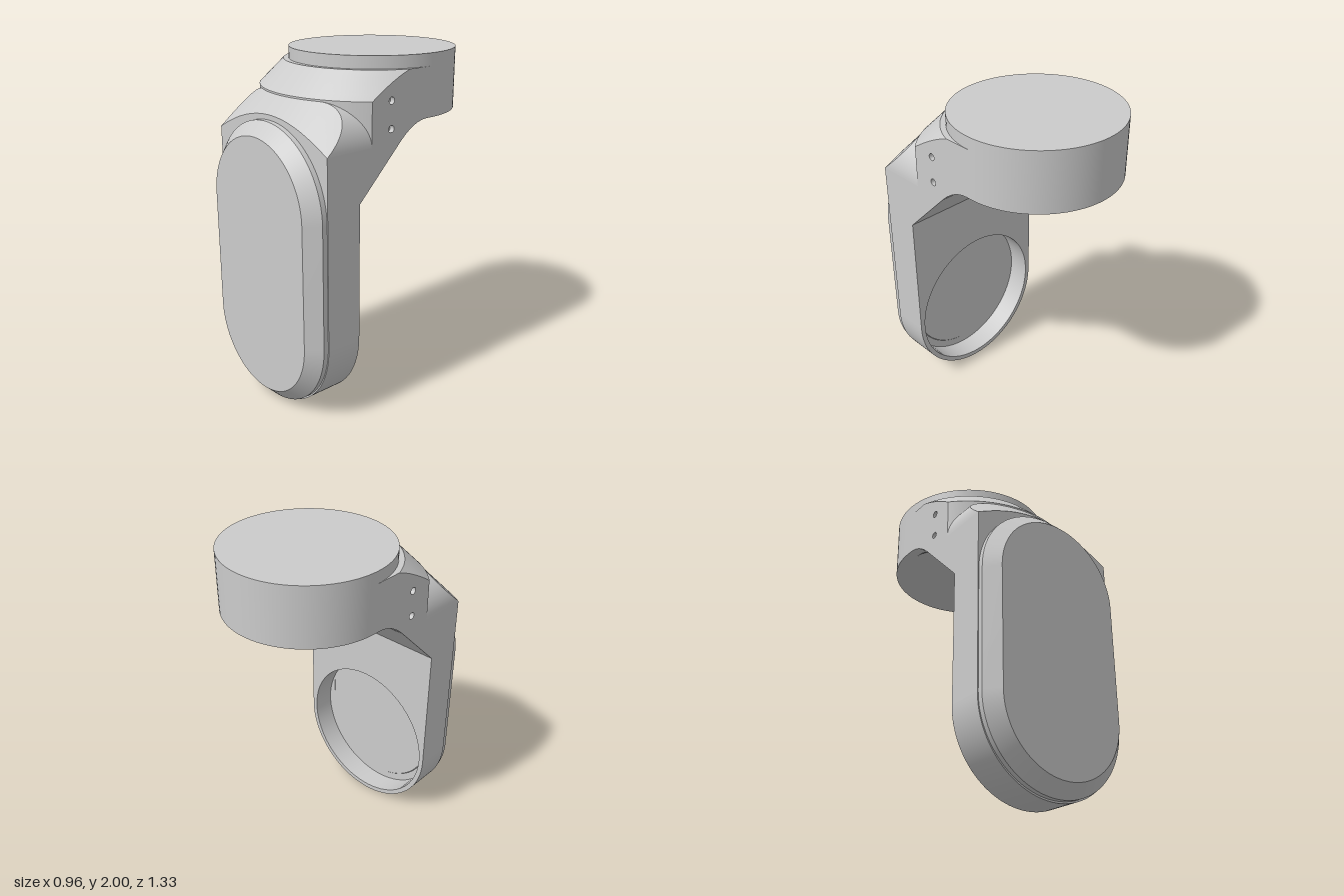
import * as THREE from 'three';
import { toCreasedNormals } from 'three/addons/utils/BufferGeometryUtils.js';

const W = 0.48;      // half width, also radius of the round ends
const ZC = -0.18;    // z of the head's vertical axis
const material = new THREE.MeshStandardMaterial({ color: 0xcccccc, side: THREE.DoubleSide });

function add(parent, name, geometry) {
  const mesh = new THREE.Mesh(toCreasedNormals(geometry, 0.45), material);
  mesh.name = name;
  parent.add(mesh);
  return mesh;
}

// Skin over columns of points; column(x) returns a list of [x, y, z]
function skin(xs, column) {
  const cols = xs.map(column), n = cols[0].length, index = [];
  for (let i = 0; i + 1 < cols.length; i++) {
    for (let j = 0; j + 1 < n; j++) {
      const a = i * n + j, b = a + n;
      index.push(a, a + 1, b, b, a + 1, b + 1);
    }
  }
  const g = new THREE.BufferGeometry();
  g.setAttribute('position', new THREE.Float32BufferAttribute(cols.flat(2), 3));
  g.setIndex(index);
  return g;
}

const steps = (n, f) => Array.from({ length: n + 1 }, (_, i) => f(i / n));
// x samples crowded toward both ends, so arcs stay round
const across = (half, n = 64) => steps(n, t => half * Math.sin((t - 0.5) * Math.PI));
const arc = (r, x) => Math.sqrt(Math.max(0, r * r - x * x));
const coneY = (x, z) => 2.43 - Math.hypot(x, z - ZC);

// Leg top seen from the front: flat with rounded corners
function shoulderY(x) {
  return 1.55 + arc(0.23, Math.max(0, Math.abs(x) - 0.25));
}

// Underside of the neck: 45 degree slope eased into the flat head bottom
function underY(z) {
  if (z > 0.05) return 1.6 - z;
  return z < -0.15 ? 1.65 : 1.65 - 2.5 * (z + 0.15) ** 2;
}

// Blind round hole opening toward +y
function cup(r, depth, sides) {
  const p = [[0, -depth], [r, -depth], [r, 0]].map(([x, y]) => new THREE.Vector2(x, y));
  return new THREE.LatheGeometry(p, sides);
}

function stadium(r, y0, y1) {
  const s = new THREE.Shape();
  s.absarc(0, y1, r, 0, Math.PI, false);
  s.absarc(0, y0, r, Math.PI, Math.PI * 2, false);
  s.closePath();
  return s;
}

export function createModel() {
  const model = new THREE.Group();
  model.name = 'angledBracket';

  // Round head
  const head = add(model, 'head', new THREE.CylinderGeometry(W, W, 0.35, 96));
  head.position.set(0, 1.825, ZC);

  // Ledge, conical shoulder, leg top, front face and round foot in one skin
  add(model, 'outerShell', skin(across(W), x => {
    const p = shoulderY(x);
    const back = ZC + arc(0.65, x);
    const meet = Math.min(0.56, ZC + arc(2.43 - p, x));
    const foot = W - arc(W, x);
    return [
      [x, 1.93, ZC + arc(W, x)],
      ...steps(4, t => [x, 1.93 - 0.14 * t, ZC + arc(0.51 + 0.14 * t, x)]),
      [x, p, back],
      ...steps(5, t => {
        const z = meet + (0.56 - meet) * t;
        return [x, Math.min(p, coneY(x, z)), z];
      }),
      [x, foot, 0.56],
      [x, foot, 0.34],
    ];
  }));

  // Sloped underside with the round recess below the head
  const R = 0.42;
  add(model, 'underside', skin(across(R), x => {
    const end = ZC + arc(R, x);
    const slope = steps(16, t => {
      const z = 0.34 + (end - 0.34) * t;
      return [x, underY(z), z];
    });
    return [...slope, [x, 1.65, end]];
  }));
  for (const [a, b] of [[-W, -R], [R, W]]) {
    add(model, 'undersideArm', skin([a, b], x => steps(16, t => {
      const z = 0.34 + (ZC - 0.34) * t;
      return [x, underY(z), z];
    })));
  }

  // Flat sides with two screw holes each
  const outline = [
    [0.34, W], [0.56, W], [0.56, 1.55], [0.26, 1.55],
    ...steps(8, t => {
      const r = 0.65 - 0.14 * t;
      return [ZC + arc(r, W), 1.79 + 0.14 * t];
    }),
    [ZC, 1.93],
    ...steps(16, t => {
      const z = ZC + (0.34 - ZC) * t;
      return [z, underY(z)];
    }),
  ];
  const sideShape = new THREE.Shape(outline.map(([z, y]) => new THREE.Vector2(z, y)));
  const holes = [[0.12, 1.78], [0.12, 1.63]];
  for (const [z, y] of holes) {
    sideShape.holes.push(new THREE.Path().absarc(z, y, 0.02, 0, Math.PI * 2, true));
  }
  for (const s of [1, -1]) {
    const side = new THREE.Group();
    side.name = s < 0 ? 'leftSide' : 'rightSide';
    side.scale.x = s;
    model.add(side);
    const wall = add(side, 'sideWall', new THREE.ShapeGeometry(sideShape, 12).rotateY(-Math.PI / 2));
    wall.position.x = -W;
    for (const [z, y] of holes) {
      const hole = add(side, 'screwHole', cup(0.02, 0.03, 24).rotateZ(Math.PI / 2));
      hole.position.set(-W, y, z);
    }
  }

  // Leg back with a round pocket
  const backShape = new THREE.Shape();
  backShape.moveTo(W, 1.26);
  backShape.lineTo(-W, 1.26);
  backShape.absarc(0, W, W, Math.PI, Math.PI * 2, false);
  backShape.closePath();
  backShape.holes.push(new THREE.Path().absarc(0, W, 0.45, 0, Math.PI * 2, true));
  const back = add(model, 'legBack', new THREE.ShapeGeometry(backShape, 36).rotateY(Math.PI));
  back.position.z = 0.34;
  const pocket = add(model, 'backPocket', cup(0.45, 0.14, 72).rotateX(-Math.PI / 2));
  pocket.position.set(0, W, 0.34);

  // Chamfered front plate
  const plate = add(model, 'frontPlate', new THREE.ExtrudeGeometry(stadium(0.4, 0.485, 1.187), {
    depth: 0.04, bevelSize: 0.075, bevelThickness: 0.075, bevelSegments: 1, curveSegments: 36,
  }));
  plate.position.z = 0.55;

  return model;
}
